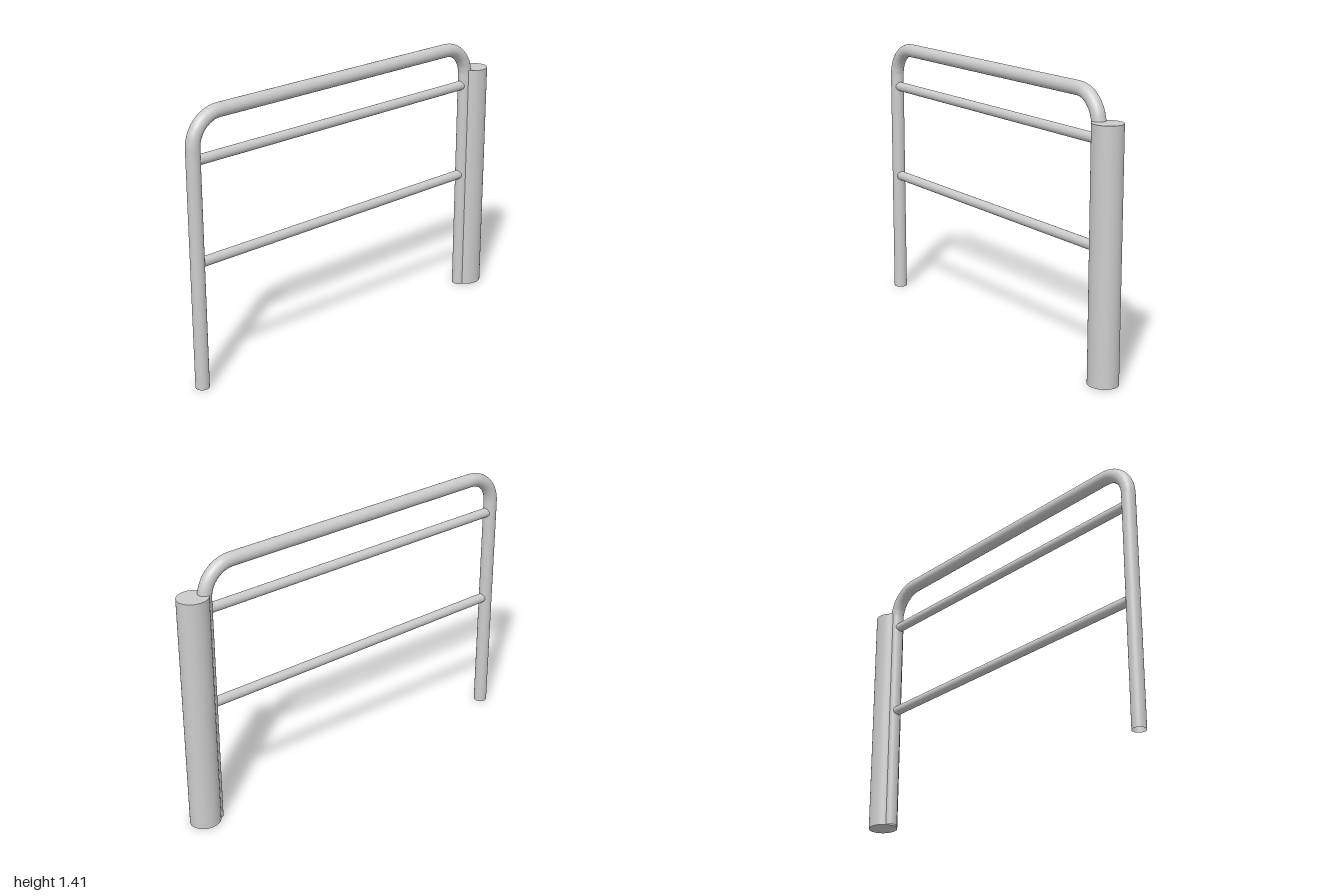
import * as THREE from 'three';

const FRONT = 0.965, BACK = -0.855, TOP = 1.38, BEND = 0.155;

// Frame centreline: up the front leg, over the top, down the back leg
function framePath() {
  const p = (y, z) => new THREE.Vector3(0, y, z);
  const path = new THREE.CurvePath();
  const corner = (cz, side, from, to) => {
    const pts = [];
    for (let i = 0; i <= 12; i++) {
      const a = THREE.MathUtils.lerp(from, to, i / 12);
      pts.push(p(TOP - BEND + BEND * Math.sin(a), cz + side * BEND * Math.cos(a)));
    }
    for (let i = 0; i < 12; i++) path.add(new THREE.LineCurve3(pts[i], pts[i + 1]));
  };
  path.add(new THREE.LineCurve3(p(0, FRONT), p(TOP - BEND, FRONT)));
  corner(FRONT - BEND, 1, 0, Math.PI / 2);
  path.add(new THREE.LineCurve3(p(TOP, FRONT - BEND), p(TOP, BACK + BEND)));
  corner(BACK + BEND, -1, Math.PI / 2, 0);
  path.add(new THREE.LineCurve3(p(TOP - BEND, BACK), p(0, BACK)));
  return path;
}

export function createModel() {
  const group = new THREE.Group();
  const material = new THREE.MeshStandardMaterial({ color: 0xcccccc });
  const openMaterial = new THREE.MeshStandardMaterial({ color: 0xcccccc, side: THREE.DoubleSide });
  const add = (name, geometry, mat = material) => {
    const mesh = new THREE.Mesh(geometry, mat);
    mesh.name = name;
    group.add(mesh);
    return mesh;
  };

  // Bent tube frame, open at the feet
  add('frame', new THREE.TubeGeometry(framePath(), 320, 0.035, 32, false), openMaterial);

  // Two thinner cross rails
  [['upperRail', 1.165], ['lowerRail', 0.655]].forEach(([name, y]) => {
    const rail = add(name, new THREE.CylinderGeometry(0.025, 0.025, FRONT - BACK - 0.03, 32));
    rail.rotation.x = Math.PI / 2;
    rail.position.set(0, y, (FRONT + BACK) / 2);
  });

  // Thick, slightly oval post behind the back leg
  const post = add('post', new THREE.CylinderGeometry(0.08, 0.08, 1.25, 48));
  post.scale.x = 0.92;
  post.position.set(0, 0.625, -0.92);

  return group;
}
